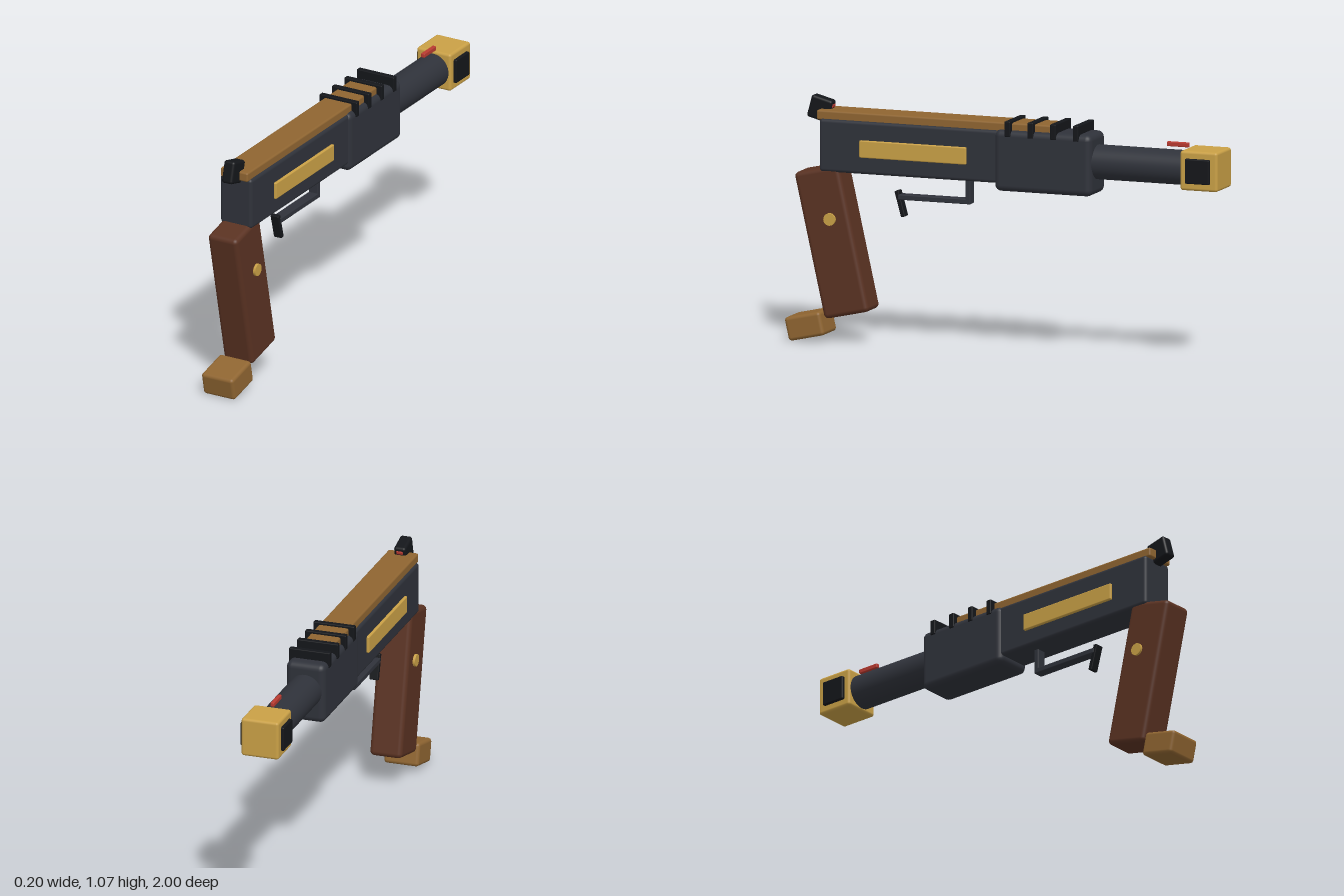
import * as THREE from 'three';
import { RoundedBoxGeometry } from 'three/addons/geometries/RoundedBoxGeometry.js';

const paint = (color) => new THREE.MeshStandardMaterial({ color });
const steel = paint(0x2f323a);
const black = paint(0x14161a);
const wood = paint(0x5a3222);
const bronze = paint(0x8f6531);
const gold = paint(0xc9a046);
const red = paint(0xb83a30);

export function createModel() {
  const model = new THREE.Group();

  const add = (name, geometry, material, x, y, z, tilt = 0) => {
    const mesh = new THREE.Mesh(geometry, material);
    mesh.name = name;
    mesh.position.set(x, y, z);
    mesh.rotation.x = tilt;
    model.add(mesh);
    return mesh;
  };
  // Rounded block given by width and its extents in y and z
  const block = (name, material, w, [y0, y1], [z0, z1], r) =>
    add(name, new RoundedBoxGeometry(w, y1 - y0, z1 - z0, 3, r), material,
      0, (y0 + y1) / 2, (z0 + z1) / 2);

  // Body, shroud and barrel
  block('receiver', steel, 0.156, [0.745, 0.975], [0.0, 0.84], 0.015);
  block('shroud', steel, 0.178, [0.712, 0.98], [-0.418, 0.03], 0.028);
  const barrel = new THREE.CylinderGeometry(0.075, 0.075, 0.5, 40);
  barrel.rotateX(Math.PI / 2);
  add('barrel', barrel, steel, 0, 0.855, -0.62);

  // Muzzle block with a dark port on each side
  block('muzzleBlock', gold, 0.17, [0.77, 0.942], [-1.0, -0.828], 0.012);
  for (const s of [-1, 1]) {
    add('muzzlePort', new RoundedBoxGeometry(0.03, 0.108, 0.112, 2, 0.005), black,
      s * 0.084, 0.856, -0.911);
    add('sidePanel', new RoundedBoxGeometry(0.02, 0.075, 0.492, 2, 0.005), gold,
      s * 0.08, 0.856, 0.404);
  }

  // Top rail with cross ribs
  block('topRail', bronze, 0.136, [0.968, 1.01], [-0.25, 0.855], 0.008);
  for (let i = 0; i < 4; i++) {
    block('rib', black, 0.186, [0.952, 1.02], [-0.363 + i * 0.105, -0.337 + i * 0.105], 0.004);
  }

  // Sights
  block('frontSight', red, 0.018, [0.944, 0.964], [-0.838, -0.737], 0.004);
  const hammer = add('rearSight', new RoundedBoxGeometry(0.054, 0.1, 0.1, 3, 0.012), black,
    0, 1.008, 0.858, -0.26);
  const mark = new THREE.Mesh(new RoundedBoxGeometry(0.03, 0.016, 0.014, 2, 0.004), red);
  mark.name = 'rearSightMark';
  mark.position.set(0, 0.027, -0.047);
  hammer.add(mark);

  // Trigger and guard
  block('guardPost', steel, 0.046, [0.636, 0.76], [0.163, 0.186], 0.004);
  block('guardBar', steel, 0.046, [0.635, 0.658], [0.163, 0.497], 0.004);
  add('trigger', new RoundedBoxGeometry(0.04, 0.116, 0.02, 2, 0.004), black,
    0, 0.617, 0.49, 0.27);

  // Raked grip, pins and separate foot
  const rake = 0.22;
  add('grip', new RoundedBoxGeometry(0.146, 0.645, 0.21, 3, 0.02), wood,
    0, 0.439, 0.787, rake);
  const pin = new THREE.CylinderGeometry(0.027, 0.027, 0.168, 24);
  pin.rotateZ(Math.PI / 2);
  add('gripPin', pin, gold, 0, 0.54, 0.79);
  add('gripFoot', new RoundedBoxGeometry(0.158, 0.104, 0.168, 3, 0.015), bronze,
    0, 0.066, 0.909, rake);

  return model;
}
